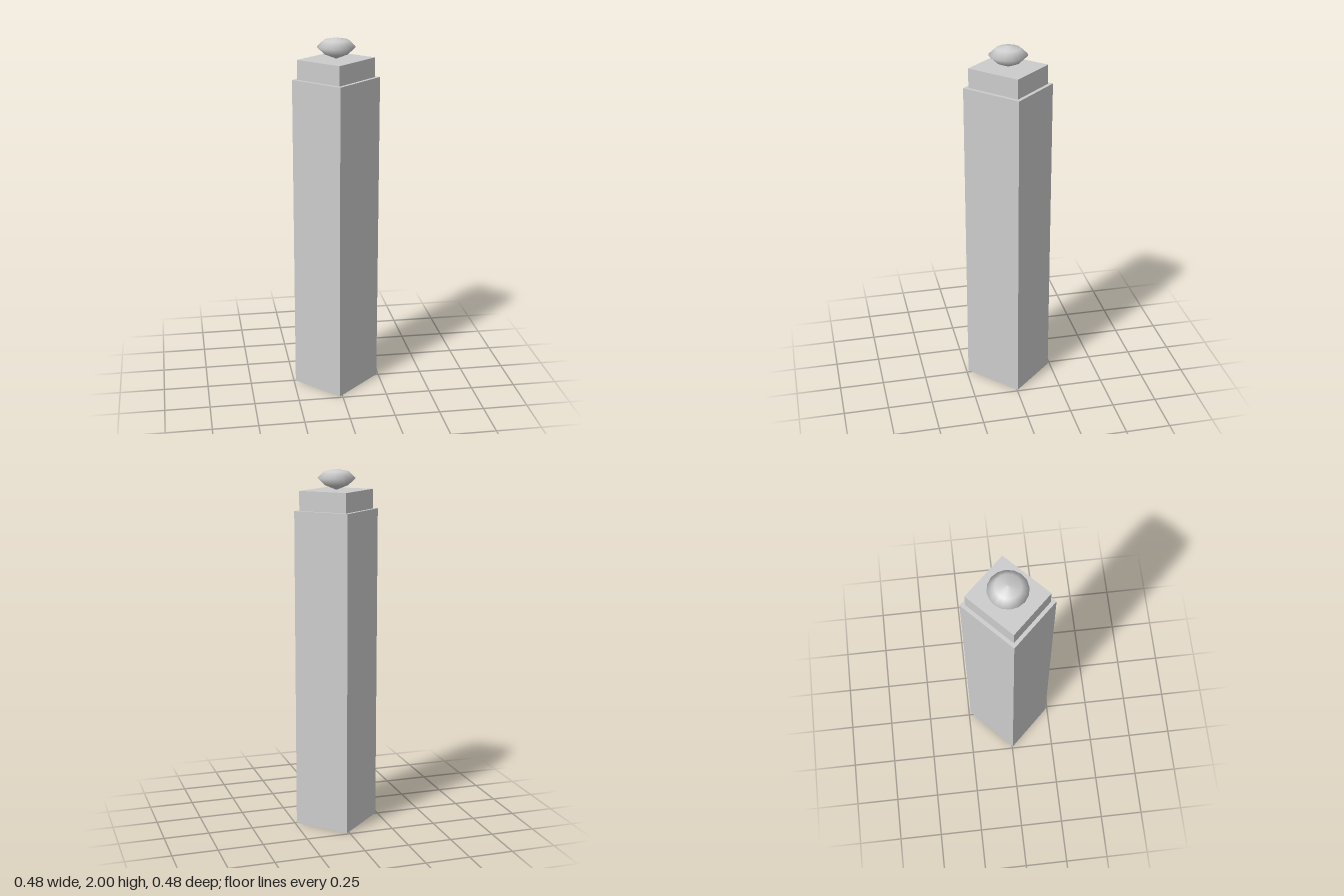
import * as THREE from 'three';

// Box standing on y0, open underneath
function openBox(width, depth, y0, y1) {
  const geo = new THREE.BoxGeometry(width, y1 - y0, depth);
  const index = Array.from(geo.index.array);
  index.splice(18, 6); // drop the bottom face
  geo.setIndex(index);
  geo.clearGroups();
  geo.translate(0, (y0 + y1) / 2, 0);
  return geo;
}

export function createModel() {
  const stone = new THREE.MeshStandardMaterial({ color: 0xcccccc, side: THREE.DoubleSide });
  stone.name = 'light grey stone';

  const model = new THREE.Group();
  model.name = 'pillar';
  const add = (name, geometry, turn = 0) => {
    const mesh = new THREE.Mesh(geometry, stone);
    mesh.name = name;
    mesh.rotation.y = turn;
    model.add(mesh);
  };

  // Hollow shaft and the smaller block on top, both turned to show a corner
  const turn = 0.76;
  add('shaft', openBox(0.353, 0.325, 0, 1.78), turn);
  add('capBlock', openBox(0.313, 0.285, 1.78, 1.887), turn);

  // Flattened round finial
  const profile = [[0, 1.887], [0.064, 1.913], [0.104, 1.951], [0.066, 1.987], [0, 2]]
    .map(([r, y]) => new THREE.Vector2(r, y));
  add('finial', new THREE.LatheGeometry(profile, 16));

  return model;
}
